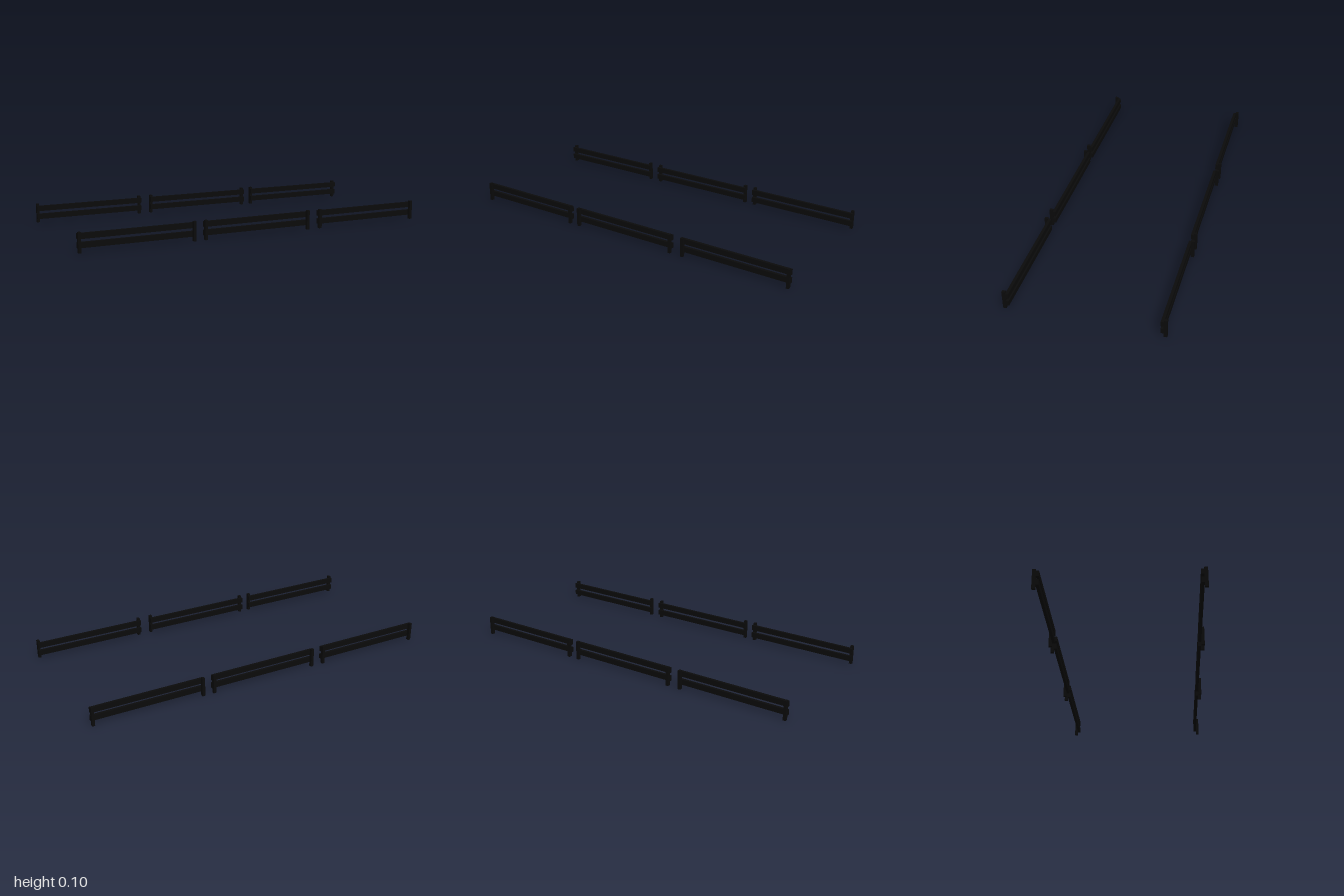
import * as THREE from 'three';

const black = new THREE.MeshStandardMaterial({ color: 0x0a0a0a });
const WIDTH = 0.622, POST = 0.015, HEIGHT = 0.105;

function box(name, w, h, d, x, y, z) {
  const mesh = new THREE.Mesh(new THREE.BoxGeometry(w, h, d), black);
  mesh.name = name;
  mesh.position.set(x, y, z);
  return mesh;
}

// One panel: two rails with posts on the outer (+z) side; z = 0 is the joint plane
function fencePanel() {
  const panel = new THREE.Group();
  panel.name = 'fencePanel';
  for (const y of [0.036, 0.0815]) {
    panel.add(box('rail', WIDTH, 0.029, 0.0155, 0, y, -0.00775));
  }
  for (const side of [-1, 1]) {
    panel.add(box('post', POST, HEIGHT, 0.018, side * (WIDTH - POST) / 2, HEIGHT / 2, 0.009));
  }
  return panel;
}

function fenceRow(name, centres) {
  const row = new THREE.Group();
  row.name = name;
  for (const x of centres) {
    const panel = fencePanel();
    panel.position.x = x;
    row.add(panel);
  }
  return row;
}

export function createModel() {
  const model = new THREE.Group();
  model.name = 'fences';

  const front = fenceRow('frontFence', [-0.67, 0.001, 0.686]);
  front.position.z = 0.401;

  // The back row faces away and is very slightly skewed
  const back = fenceRow('backFence', [-0.667, 0.005, 0.687]);
  back.position.z = -0.3965;
  back.rotation.y = Math.PI + 0.0024;

  model.add(front, back);
  return model;
}
